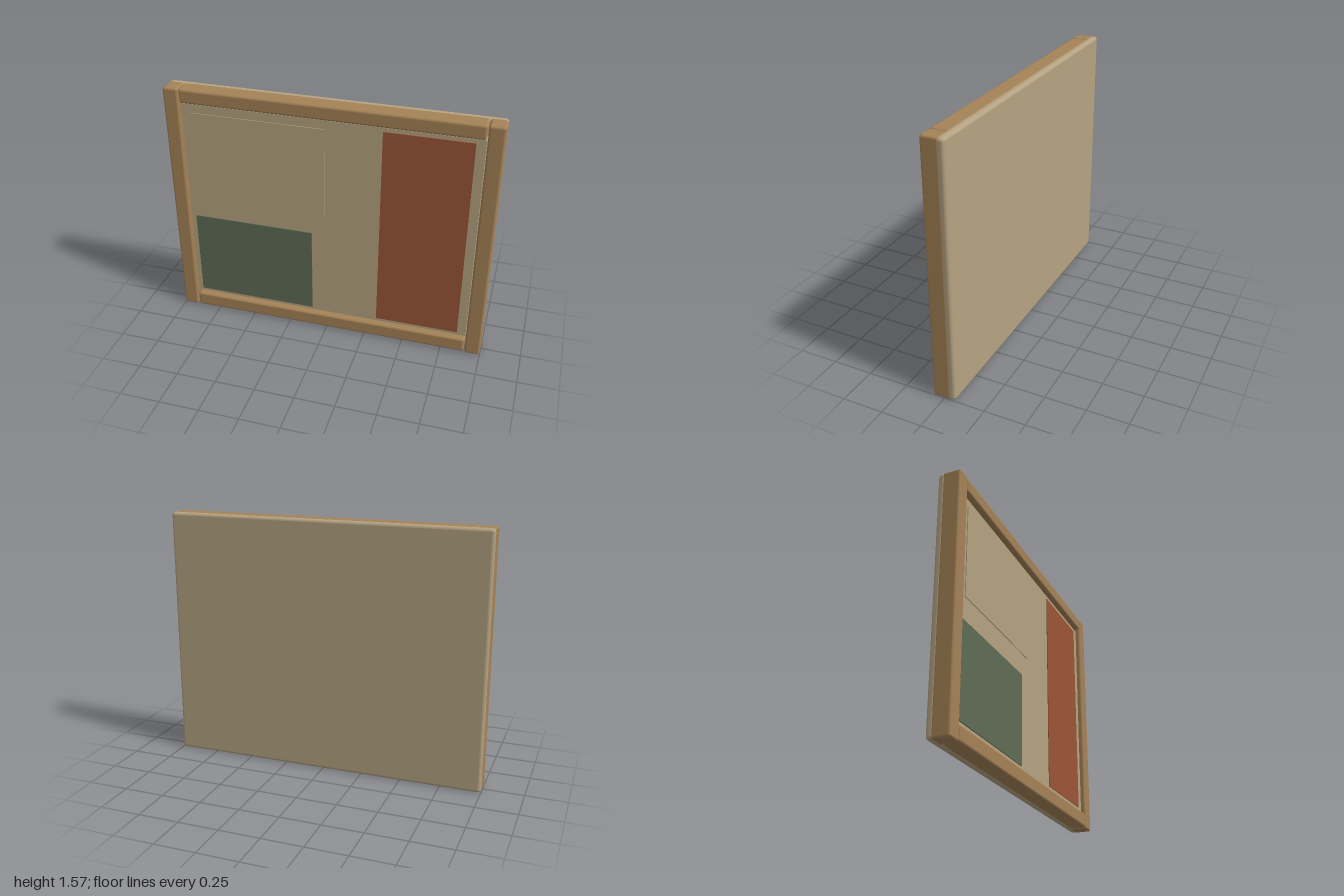
import * as THREE from 'three';
import { RoundedBoxGeometry } from 'three/addons/geometries/RoundedBoxGeometry.js';

const flat = (name, color) => {
  const m = new THREE.MeshStandardMaterial({ color });
  m.name = name;
  return m;
};

export function createModel() {
  const board = new THREE.Group();
  board.name = 'noticeBoard';

  const wood = flat('frameWood', 0xa58357);
  const cork = flat('boardTan', 0xb5a382);
  const green = flat('greenPaper', 0x5f6c55);
  const red = flat('rustPaper', 0x9a5536);

  // Box given by its extents on each axis; radius 0 keeps sharp edges
  const slab = (name, mat, [x0, x1], [y0, y1], [z0, z1], radius = 0) => {
    const size = [x1 - x0, y1 - y0, z1 - z0];
    const geo = radius
      ? new RoundedBoxGeometry(...size, 2, radius)
      : new THREE.BoxGeometry(...size);
    const mesh = new THREE.Mesh(geo, mat);
    mesh.name = name;
    mesh.position.set((x0 + x1) / 2, (y0 + y1) / 2, (z0 + z1) / 2);
    board.add(mesh);
  };

  // Full-size backing and the raised field inside the frame
  slab('backPanel', cork, [-1, 1], [0, 1.57], [-0.07, -0.02], 0.02);
  slab('boardField', cork, [-0.9, 0.9], [0.11, 1.47], [-0.03, 0.04]);

  // Frame: two full-height posts with rails between them
  const depth = [-0.04, 0.07];
  slab('leftPost', wood, [0.905, 1], [0, 1.57], depth, 0.014);
  slab('rightPost', wood, [-1, -0.905], [0, 1.57], depth, 0.014);
  slab('topRail', wood, [-0.9, 0.9], [1.48, 1.57], depth, 0.016);
  slab('bottomRail', wood, [-0.9, 0.9], [0.005, 0.1], depth, 0.016);

  // Thin sheets pinned on the field
  slab('plainSheet', cork, [-0.845, -0.015], [0.845, 1.415], [0.039, 0.045]);
  slab('greenSheet', green, [-0.87, -0.1], [0.13, 0.7], [0.039, 0.046]);
  slab('rustSheet', red, [0.325, 0.845], [0.13, 1.445], [0.039, 0.044]);

  return board;
}
